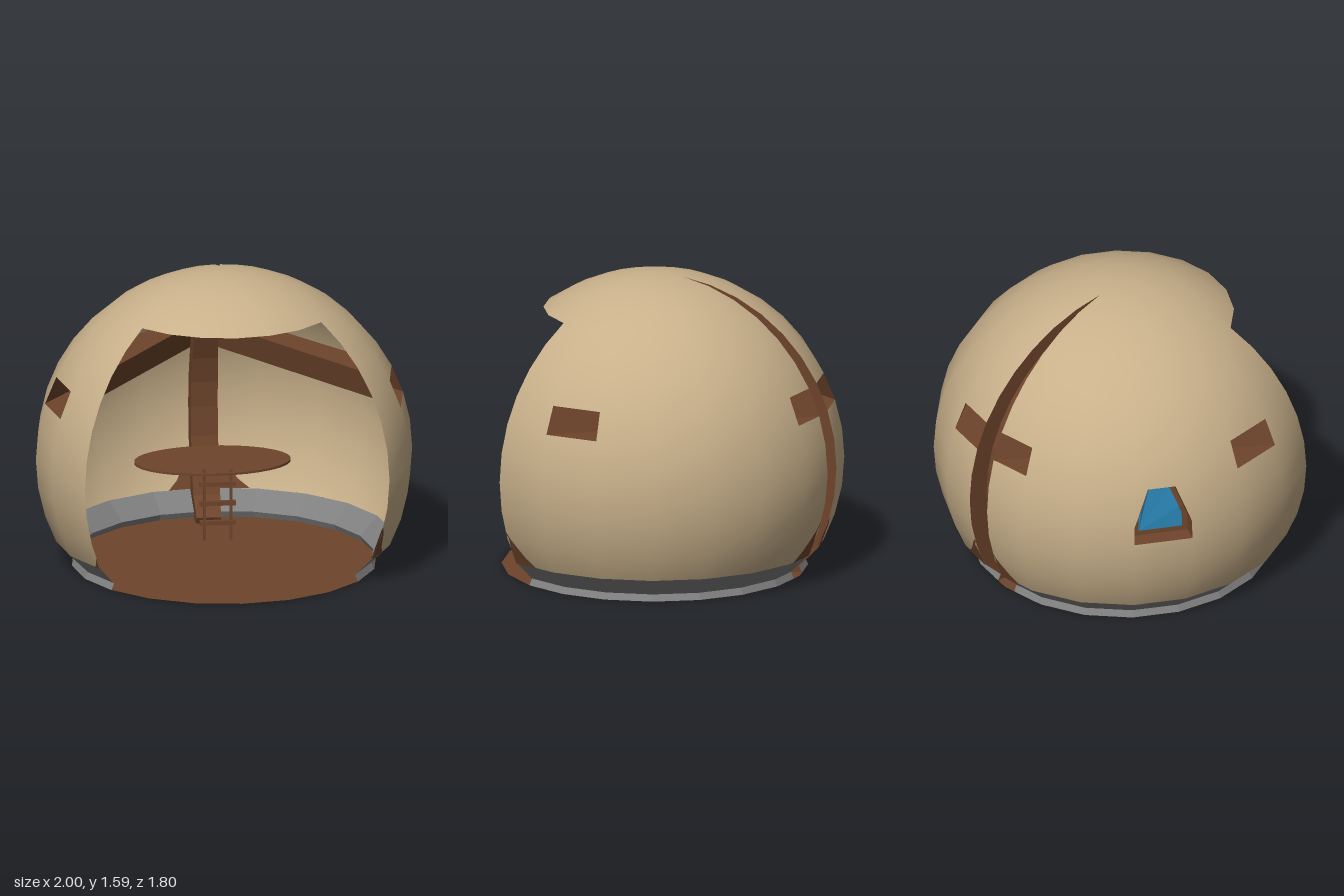
import * as THREE from 'three';

const CENTER = new THREE.Vector3(0, 0.588, 0.09);
const STEP = 18, ROW = 9; // grid of the round shell, in degrees
const rad = THREE.MathUtils.degToRad;

const mat = (name, color) => {
  const m = new THREE.MeshStandardMaterial({ color, side: THREE.DoubleSide });
  m.name = name;
  return m;
};

// Point on the unit sphere: azimuth from +z towards +x, latitude upwards
const onSphere = (a, l) => new THREE.Vector3(
  Math.cos(rad(l)) * Math.sin(rad(a)), Math.sin(rad(l)), Math.cos(rad(l)) * Math.cos(rad(a)));

// Point on the faceted shell (linear inside each grid cell)
function onShell(a, l, scale = 1) {
  const a0 = Math.floor(a / STEP) * STEP, l0 = Math.floor(l / ROW) * ROW;
  const u = (a - a0) / STEP, v = (l - l0) / ROW;
  const low = onSphere(a0, l0).lerp(onSphere(a0 + STEP, l0), u);
  const high = onSphere(a0, l0 + ROW).lerp(onSphere(a0 + STEP, l0 + ROW), u);
  return low.lerp(high, v).multiplyScalar(scale).add(CENTER);
}

// Mesh from convex polygons; round = normals pointing away from the centre
function facets(name, polygons, material, round = false) {
  const pos = [];
  for (const p of polygons)
    for (let i = 1; i < p.length - 1; i++)
      for (const v of [p[0], p[i], p[i + 1]]) pos.push(v.x, v.y, v.z);
  const g = new THREE.BufferGeometry();
  g.setAttribute('position', new THREE.Float32BufferAttribute(pos, 3));
  g.computeVertexNormals();
  if (round) {
    const n = g.attributes.normal, v = new THREE.Vector3();
    for (let i = 0; i < n.count; i++) {
      v.fromBufferAttribute(g.attributes.position, i).sub(CENTER).normalize();
      n.setXYZ(i, v.x, v.y, v.z);
    }
  }
  const mesh = new THREE.Mesh(g, material);
  mesh.name = name;
  return mesh;
}

// Half width of the tapering slot at the back, and the same as an angle
function slotWidth(l) {
  return l < 0 ? 0.073 : 0.073 * Math.max(0, (Math.cos(rad(l)) - 0.157) / 0.843);
}
const slotAngle = (l) => THREE.MathUtils.radToDeg(Math.atan(slotWidth(l) / Math.max(0.1, Math.cos(rad(l)))));

export function createModel() {
  const group = new THREE.Group();
  const plaster = mat('sand plaster', 0xc8b08a);
  const wood = mat('brown wood', 0x6e442b);
  const stone = mat('grey stone', 0x808080);
  const glass = mat('blue glass', 0x2a84b4);

  // Round shell with front opening, beam holes, window hole and back slot
  const shell = [];
  for (let l = -27; l < 90; l += ROW) {
    for (let a = 0; a < 360; a += STEP) {
      if (l < 54 && (a < 54 || a >= 306)) continue;
      if (l === 18 && [72, 162, 180, 270].includes(a)) continue;
      if (a === 234 && (l === 0 || l === 9)) continue;
      const left = (k) => a + (a === 180 ? slotAngle(k) : 0);
      const right = (k) => a + STEP - (a === 162 ? slotAngle(k) : 0);
      shell.push([onShell(left(l), l), onShell(right(l), l),
        onShell(right(l + ROW), l + ROW), onShell(left(l + ROW), l + ROW)]);
    }
  }
  // Shell corners beside the window top
  const corner = [[252, 6], [252, 9], [252, 18], [247.5, 18], [250.9, 9]];
  shell.push(corner.map(([a, l]) => onShell(a, l)));
  shell.push(corner.map(([a, l]) => onShell(486 - a, l)).reverse());
  group.add(facets('shell', shell, plaster, true));

  // Stone footing: narrow foot flaring out to the shell
  const footing = [[0.809, 0], [0.792, 0.035], [0.891, 0.134]];
  const onFooting = (a, [r, y]) => {
    const a0 = Math.floor(a / STEP) * STEP;
    const p = onSphere(a0, 0).lerp(onSphere(a0 + STEP, 0), (a - a0) / STEP).multiplyScalar(r);
    return p.setY(y).add(new THREE.Vector3(0, 0, CENTER.z));
  };
  const ring = [];
  for (let i = 0; i < 2; i++) {
    for (let a = 54; a < 306; a += STEP) {
      const left = a + (a === 180 ? 4.8 : 0), right = a + STEP - (a === 162 ? 4.8 : 0);
      ring.push([onFooting(left, footing[i]), onFooting(right, footing[i]),
        onFooting(right, footing[i + 1]), onFooting(left, footing[i + 1])]);
    }
  }
  group.add(facets('footing', ring, stone));

  // Floor
  const floor = new THREE.Mesh(new THREE.CircleGeometry(0.809, 20), wood);
  floor.rotation.x = -Math.PI / 2;
  floor.position.set(0, 0.001, CENTER.z);
  floor.name = 'floor';
  group.add(floor);

  // Rib: open channel sunk into the slot, from the ground to the crown
  const rows = footing.slice(0, 2).map((f) => {
    const o = onFooting(180 - 4.8, f);
    return [o, o.clone().setZ(o.z + 0.11)];
  });
  for (let l = -27; l <= 81; l += ROW) {
    const o = onShell(180 - slotAngle(l), l);
    const depth = 0.115 * Math.sqrt(slotWidth(l) / 0.073);
    const inner = o.clone().sub(CENTER);
    if (l < 0) inner.z += depth;
    else inner.multiplyScalar(1 - depth);
    inner.add(CENTER).setX(o.x);
    rows.push([o, inner]);
  }
  const flip = (p) => p.clone().setX(-p.x);
  const rib = [];
  for (let i = 0; i < rows.length - 1; i++) {
    const [o0, i0] = rows[i], [o1, i1] = rows[i + 1];
    rib.push([o0, i0, i1, o1], [flip(o0), flip(o1), flip(i1), flip(i0)], [i0, flip(i0), flip(i1), i1]);
  }
  group.add(facets('rib', rib, wood));

  // Hollow straight beams from the side holes to the back holes
  for (const side of [1, -1]) {
    const at = (a, l) => (side > 0 ? onShell(a, l) : flip(onShell(a, l)));
    const end = (l) => 180 - slotAngle(l);
    const beam = [
      [at(72, 18), at(end(18), 18), at(end(27), 27), at(72, 27)],
      [at(90, 18), at(162, 18), at(162, 27), at(90, 27)],
      ...[18, 27].map((l) => [at(72, l), at(end(l), l), at(162, l), at(90, l)]),
    ];
    group.add(facets(side > 0 ? 'leftBeam' : 'rightBeam', beam, wood));
  }

  // Wooden flares at the foot of the opening and of the rib, inside and out
  const flares = [];
  const s = slotAngle(-20);
  for (const [start, width, top] of [[54, 10, 11.5], [306, -3, 4], [180 - s, -11.3, 12], [180 + s, 8, 11]]) {
    const outline = [[0, 0], [1, 0], [0.62, 0.25], [0.35, 0.55], [0.17, 0.78], [0, 1]];
    for (const scale of [1.003, 0.997])
      flares.push(outline.map(([u, v]) => onShell(start + u * width, -27 + v * top, scale)));
  }
  group.add(facets('flares', flares, wood));

  // Window: sunken reveal, frame and pane
  const hole = [[234, 0], [252, 0], [252, 6], [250.9, 9], [247.5, 18], [238.5, 18], [235.1, 9], [234, 6]]
    .map(([a, l]) => onShell(a, l));
  const middle = onShell(243, 8);
  const inward = onSphere(243, 0).multiplyScalar(-0.075);
  const shrink = (t) => hole.map((p) => p.clone().lerp(middle, t).add(inward));
  const reveal = shrink(0.06), pane = shrink(0.25);
  const frame = [];
  hole.forEach((p, i) => {
    const j = (i + 1) % hole.length;
    frame.push([p, hole[j], reveal[j], reveal[i]], [reveal[i], reveal[j], pane[j], pane[i]]);
  });
  group.add(facets('windowFrame', frame, wood));
  group.add(facets('windowPane', [pane], glass));

  // Oval platform
  const platform = new THREE.Mesh(new THREE.CylinderGeometry(0.415, 0.415, 0.012, 32), wood);
  platform.scale.z = 0.63;
  platform.position.set(0, 0.397, -0.42);
  platform.name = 'platform';
  group.add(platform);

  // Ladder
  const ladder = new THREE.Group();
  ladder.name = 'ladder';
  const bar = (name, w, h, d, x, y) => {
    const b = new THREE.Mesh(new THREE.BoxGeometry(w, h, d), wood);
    b.name = name;
    b.position.set(x, y, 0);
    ladder.add(b);
  };
  for (const x of [-0.07, 0.07]) bar('ladderRail', 0.014, 0.39, 0.014, x, 0.225);
  for (const y of [0.125, 0.232, 0.338]) bar('ladderRung', 0.19, 0.024, 0.025, 0, y);
  ladder.position.z = -0.19;
  group.add(ladder);

  return group;
}
